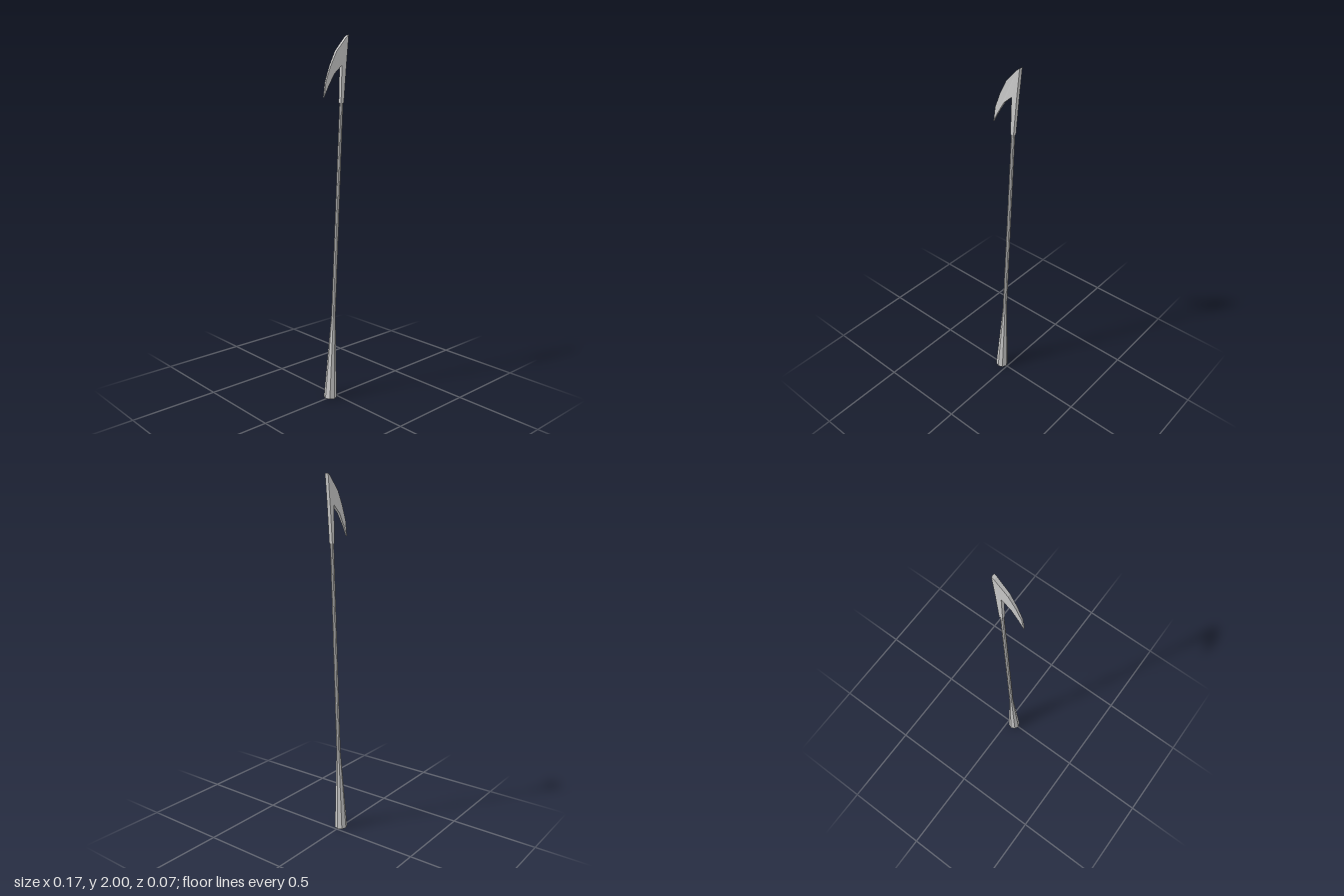
import * as THREE from 'three';

const material = new THREE.MeshStandardMaterial({ color: 0xcccccc, flatShading: true });

// Leaning octagonal shaft: a unit cylinder whose three rings are moved into place
function makeShaft() {
  const rings = [ // centre x, centre y, x radius, z radius (bottom to top)
    [-0.042, 0.003, 0.036, 0.036],
    [-0.017, 0.48, 0.012, 0.012],
    [0.04, 1.65, 0.010, 0.010],
  ];
  const geo = new THREE.CylinderGeometry(1, 1, 2, 8, 2);
  const p = geo.attributes.position;
  for (let i = 0; i < p.count; i++) {
    const [cx, cy, rx, rz] = rings[Math.round(p.getY(i)) + 1];
    const dx = p.getX(i) * rx;
    // each ring tilts square to the leaning axis
    p.setXYZ(i, cx + dx, cy - dx * 0.06, p.getZ(i) * rz);
  }
  geo.computeVertexNormals();
  return new THREE.Mesh(geo, material);
}

// Flat neck and backswept barb, thinning towards the barb's point
function makeHead() {
  const outline = [
    [0.03, 1.65], [0.05, 1.65], [0.067, 1.84], [0.084, 2.0], [0.07, 1.99],
    [0.0, 1.915], [-0.04, 1.84], [-0.072, 1.76], [-0.084, 1.68],
    [-0.055, 1.735], [-0.015, 1.80], [0.036, 1.845],
  ].map(([x, y]) => new THREE.Vector2(x, y));
  const geo = new THREE.ExtrudeGeometry(new THREE.Shape(outline), { depth: 1, bevelEnabled: false });
  const p = geo.attributes.position;
  for (let i = 0; i < p.count; i++) {
    const t = THREE.MathUtils.smoothstep(p.getX(i), -0.12, 0.06);
    p.setZ(i, (p.getZ(i) * 2 - 1) * THREE.MathUtils.lerp(0.0035, 0.01, t));
  }
  geo.computeVertexNormals();
  return new THREE.Mesh(geo, material);
}

export function createModel() {
  const group = new THREE.Group();
  group.name = 'barbedSpear';
  const shaft = makeShaft();
  shaft.name = 'shaft';
  const head = makeHead();
  head.name = 'barbedHead';
  group.add(shaft, head);
  return group;
}
